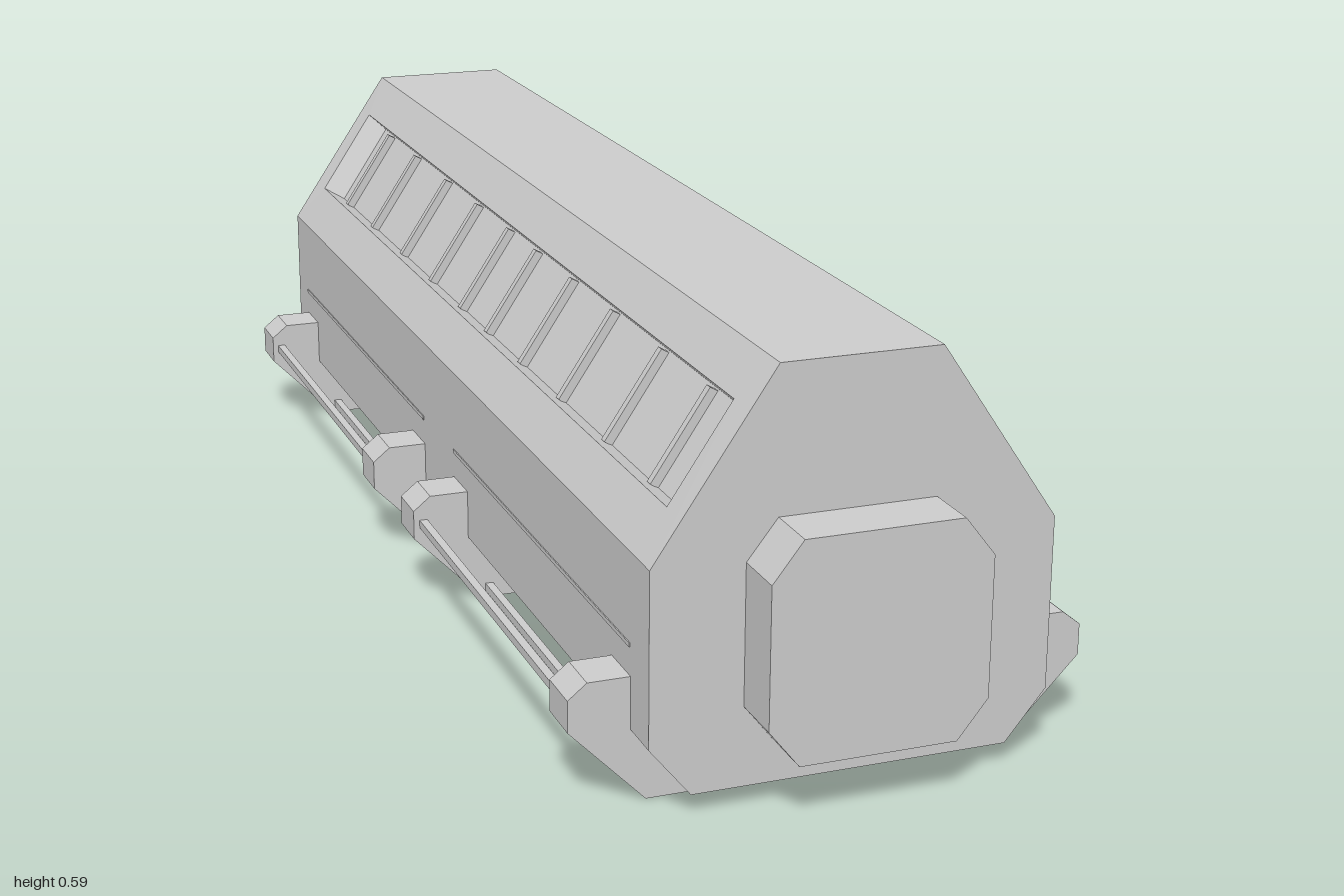
import * as THREE from 'three';

const mat = new THREE.MeshStandardMaterial({ color: 0xcccccc, flatShading: true });
const HALF = 0.92; // half length of the hull

function add(parent, geometry, name, x = 0, y = 0, z = 0) {
  const mesh = new THREE.Mesh(geometry, mat);
  mesh.name = name;
  mesh.position.set(x, y, z);
  parent.add(mesh);
  return mesh;
}

// Extrudes an x/y outline along z, centred on z = 0
function extrude(points, depth) {
  const shape = new THREE.Shape(points.map(([x, y]) => new THREE.Vector2(x, y)));
  return new THREE.ExtrudeGeometry(shape, { depth, bevelEnabled: false }).translate(0, 0, -depth / 2);
}

// Hull with a tapered recess in each sloping side
function hullGeometry() {
  const rows = [[0.22, 0.03], [0.277, 0.10], [0.277, 0.34], [0.11, 0.587]];
  const pos = [];
  const quad = (pts, flip) => {
    const [a, b, c, d] = flip ? [...pts].reverse() : pts;
    pos.push(...a, ...b, ...c, ...a, ...c, ...d);
  };
  // Four corners of a side panel between a lower and an upper point
  const loop = ([x0, y0], [x1, y1], h, s) =>
    [[s * x0, y0, h], [s * x0, y0, -h], [s * x1, y1, -h], [s * x1, y1, h]];

  for (const s of [1, -1]) {
    quad(loop(rows[0], rows[1], HALF, s), s < 0);
    quad(loop(rows[1], rows[2], HALF, s), s < 0);
    // Sloping side: outer border, recess rim, recess floor
    const rings = [
      loop(rows[2], rows[3], HALF, s),
      loop([0.236, 0.40], [0.149, 0.53], 0.87, s),
      loop([0.21, 0.388], [0.129, 0.51], 0.83, s),
    ];
    for (let r = 0; r < 2; r++) {
      for (let i = 0; i < 4; i++) {
        const j = (i + 1) % 4;
        quad([rings[r][i], rings[r][j], rings[r + 1][j], rings[r + 1][i]], s < 0);
      }
    }
    quad(rings[2], s < 0);
    // End walls
    for (let i = 0; i < 3; i++) {
      const [x0, y0] = rows[i], [x1, y1] = rows[i + 1], z = s * HALF;
      quad([[-x0, y0, z], [x0, y0, z], [x1, y1, z], [-x1, y1, z]], s < 0);
    }
  }
  // Roof and underside
  const [tx, ty] = rows[3], [bx, by] = rows[0];
  quad([[-tx, ty, HALF], [tx, ty, HALF], [tx, ty, -HALF], [-tx, ty, -HALF]]);
  quad([[-bx, by, -HALF], [bx, by, -HALF], [bx, by, HALF], [-bx, by, HALF]]);

  const g = new THREE.BufferGeometry();
  g.setAttribute('position', new THREE.Float32BufferAttribute(pos, 3));
  g.computeVertexNormals();
  return g;
}

export function createModel() {
  const model = new THREE.Group();
  model.name = 'container';
  add(model, hullGeometry(), 'hull');

  // Chamfered plugs on both ends
  const plug = extrude([
    [-0.108, 0.087], [0.108, 0.087], [0.15, 0.14], [0.15, 0.334],
    [0.108, 0.388], [-0.108, 0.388], [-0.15, 0.334], [-0.15, 0.14],
  ], 0.09);
  add(model, plug, 'frontPlug', 0, 0, 0.955);
  add(model, plug, 'backPlug', 0, 0, -0.955);

  // Hooked foot that wraps the lower corner of the hull
  const foot = [
    [0.27, 0.173], [0.335, 0.173], [0.361, 0.152], [0.361, 0.108], [0.256, 0],
    [0.115, 0], [0.095, 0.022], [0.095, 0.034], [0.215, 0.036], [0.27, 0.104],
  ];

  for (const s of [1, -1]) {
    const side = s > 0 ? 'left' : 'right';

    // Ribs across the recess floor
    for (const z of [0.068, 0.233, 0.407, 0.595, 0.767]) {
      for (const e of [1, -1]) {
        const rib = extrude([
          [s * 0.205, 0.383], [s * 0.221, 0.394], [s * 0.141, 0.514], [s * 0.125, 0.505],
        ], 0.012);
        add(model, rib, side + 'Rib', 0, 0, e * z);
      }
    }

    // Feet
    const footGeometry = extrude(foot.map(([x, y]) => [s * x, y]), 0.07);
    for (const z of [-0.82, -0.115, 0.115, 0.82]) add(model, footGeometry, side + 'Foot', 0, 0, z);

    // Rods between the feet and a thin trim line on the wall above them
    for (const e of [1, -1]) {
      add(model, new THREE.BoxGeometry(0.012, 0.012, 0.65), side + 'UpperRod', s * 0.346, 0.131, e * 0.4675);
      add(model, new THREE.BoxGeometry(0.012, 0.012, 0.65), side + 'LowerRod', s * 0.245, 0.016, e * 0.4675);
      add(model, new THREE.BoxGeometry(0.006, 0.006, 0.77), side + 'Trim', s * 0.2755, 0.215, e * 0.4675);
    }
  }
  return model;
}
